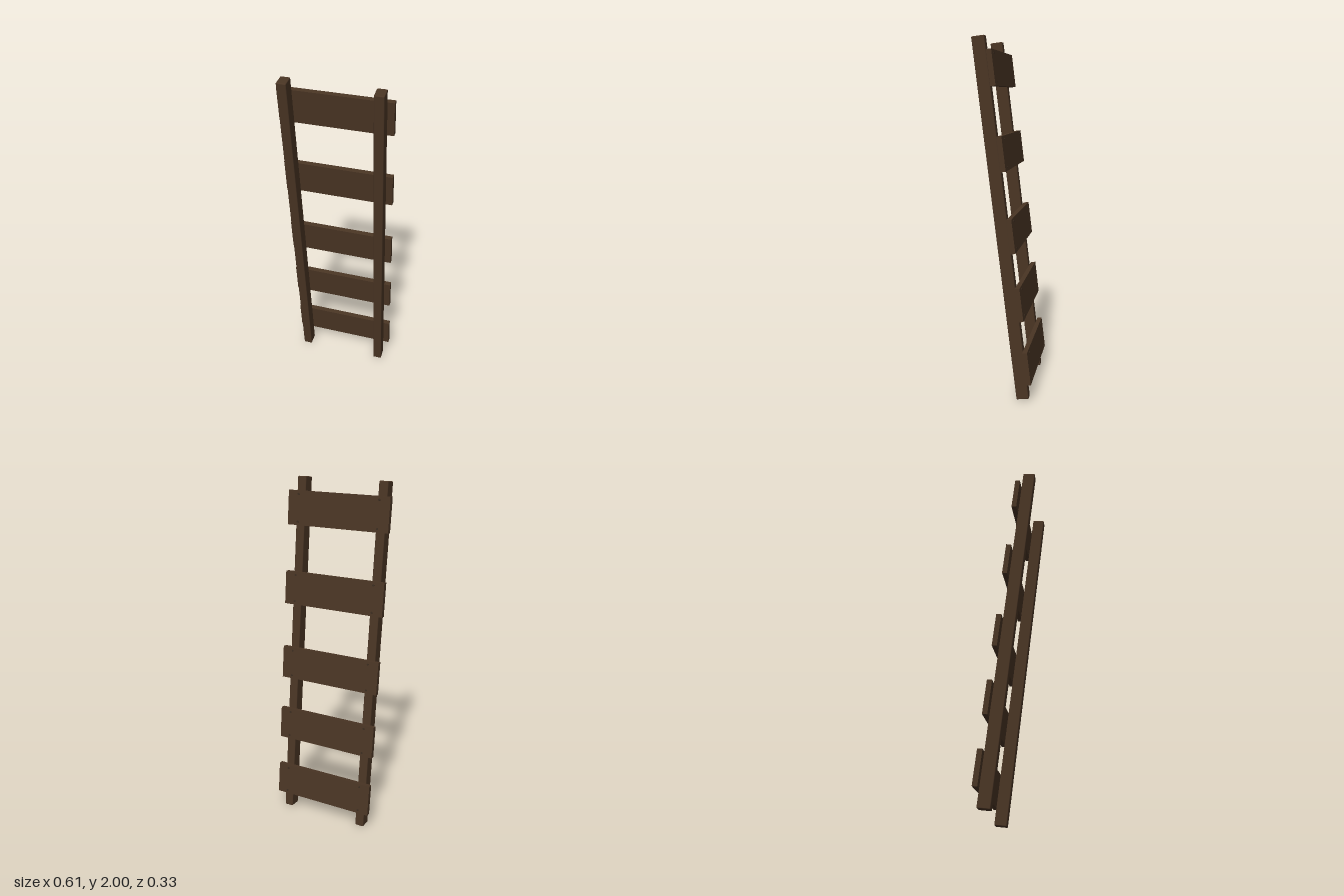
import * as THREE from 'three';
import { RoundedBoxGeometry } from 'three/addons/geometries/RoundedBoxGeometry.js';

const TILT = 0.121;

export function createModel() {
  const model = new THREE.Group();
  model.name = 'ladder';
  const wood = new THREE.MeshStandardMaterial({ color: 0x4a3524 });
  const iron = new THREE.MeshStandardMaterial({ color: 0x3a2c20 });

  const add = (parent, name, geometry, material, x, y, z) => {
    const mesh = new THREE.Mesh(geometry, material);
    mesh.name = name;
    mesh.position.set(x, y, z);
    parent.add(mesh);
    return mesh;
  };

  // Two leaning side rails with softened edges
  const railGeometry = new RoundedBoxGeometry(0.052, 2.006, 0.07, 2, 0.005);
  for (const [name, side] of [['leftRail', 1], ['rightRail', -1]]) {
    add(model, name, railGeometry, wood, side * 0.243, 1, 0.008).rotation.x = TILT;
  }

  // Wide plank steps fixed across the back, each with four nails
  const plankGeometry = new THREE.BoxGeometry(0.605, 0.188, 0.028);
  const nailGeometry = new THREE.CylinderGeometry(0.006, 0.006, 0.045, 10).rotateX(Math.PI / 2);
  [0.2, 0.565, 0.945, 1.387, 1.833].forEach((y, i) => {
    const step = new THREE.Group();
    step.name = `step${i + 1}`;
    step.position.set(0, y, -0.14 + 0.118 * (y - 0.2));
    step.rotation.x = TILT;
    add(step, 'plank', plankGeometry, wood, 0, 0, 0);
    for (const x of [-0.24, 0.24]) {
      for (const v of [-0.075, 0.075]) add(step, 'nail', nailGeometry, iron, x, v, 0.006);
    }
    model.add(step);
  });

  return model;
}
